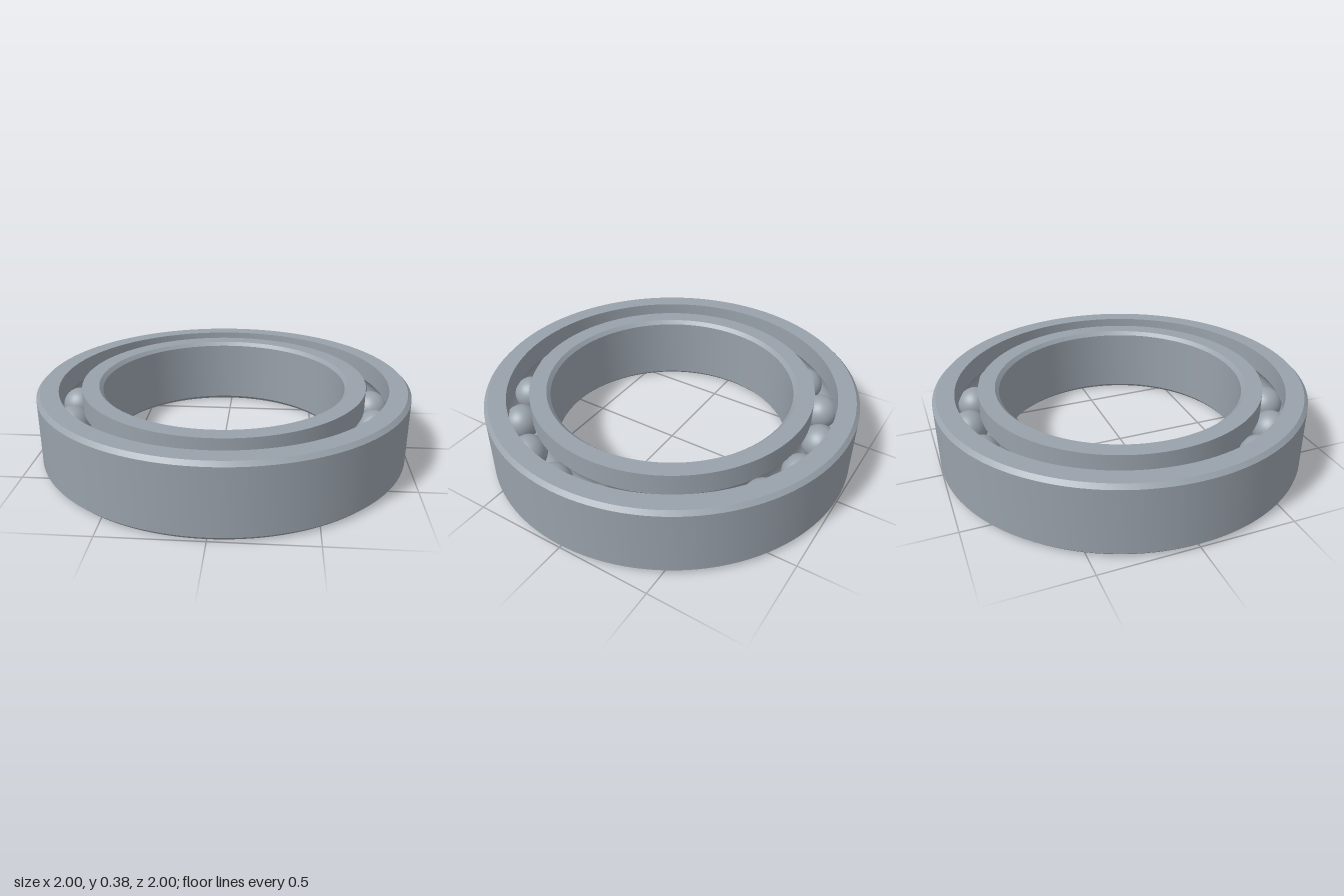
import * as THREE from 'three';
import { toCreasedNormals } from 'three/addons/utils/BufferGeometryUtils.js';

const H = 0.385;          // ring height
const BEVEL = 0.02;       // edge chamfer
const PITCH = 0.825;      // radius of the ball circle
const LAND = 0.06;        // distance from ball circle to each race shoulder
const BALL_R = 0.095;
const GROOVE_R = 0.097;
const BALLS = 19;

// Arc of the ball groove, centred on the ball circle
function groove(from, to, steps = 14) {
  return Array.from({ length: steps + 1 }, (_, i) => {
    const a = from + (to - from) * i / steps;
    return [PITCH + GROOVE_R * Math.cos(a), H / 2 + GROOVE_R * Math.sin(a)];
  });
}

// Closed counter-clockwise section turned into a ring with crisp edges
function ring(name, section, material) {
  const points = [...section, section[0]].map(([x, y]) => new THREE.Vector2(x, y));
  const geometry = toCreasedNormals(new THREE.LatheGeometry(points, 128), 0.45);
  const mesh = new THREE.Mesh(geometry, material);
  mesh.name = name;
  return mesh;
}

export function createModel() {
  const model = new THREE.Group();
  model.name = 'ballBearing';
  const steel = new THREE.MeshStandardMaterial({ color: 0x98a1aa });
  steel.name = 'steel';

  const half = Math.acos(LAND / GROOVE_R);
  const outer = 1, bore = 0.655;

  // Outer ring: chamfered outside, grooved inside
  model.add(ring('outerRing', [
    [PITCH + LAND, 0], [outer - BEVEL, 0], [outer, BEVEL],
    [outer, H - BEVEL], [outer - BEVEL, H], [PITCH + LAND, H],
    ...groove(half, -half),
  ], steel));

  // Inner ring: chamfered bore, grooved outside
  model.add(ring('innerRing', [
    [bore + BEVEL, 0], [PITCH - LAND, 0],
    ...groove(Math.PI + half, Math.PI - half),
    [PITCH - LAND, H], [bore + BEVEL, H], [bore, H - BEVEL], [bore, BEVEL],
  ], steel));

  // Balls evenly spaced in the race
  const balls = new THREE.Group();
  balls.name = 'balls';
  const ballGeometry = new THREE.SphereGeometry(BALL_R, 32, 20);
  for (let i = 0; i < BALLS; i++) {
    const a = THREE.MathUtils.degToRad(7.1) + i * Math.PI * 2 / BALLS;
    const ball = new THREE.Mesh(ballGeometry, steel);
    ball.name = 'ball';
    ball.position.set(PITCH * Math.sin(a), H / 2, -PITCH * Math.cos(a));
    balls.add(ball);
  }
  model.add(balls);
  return model;
}
